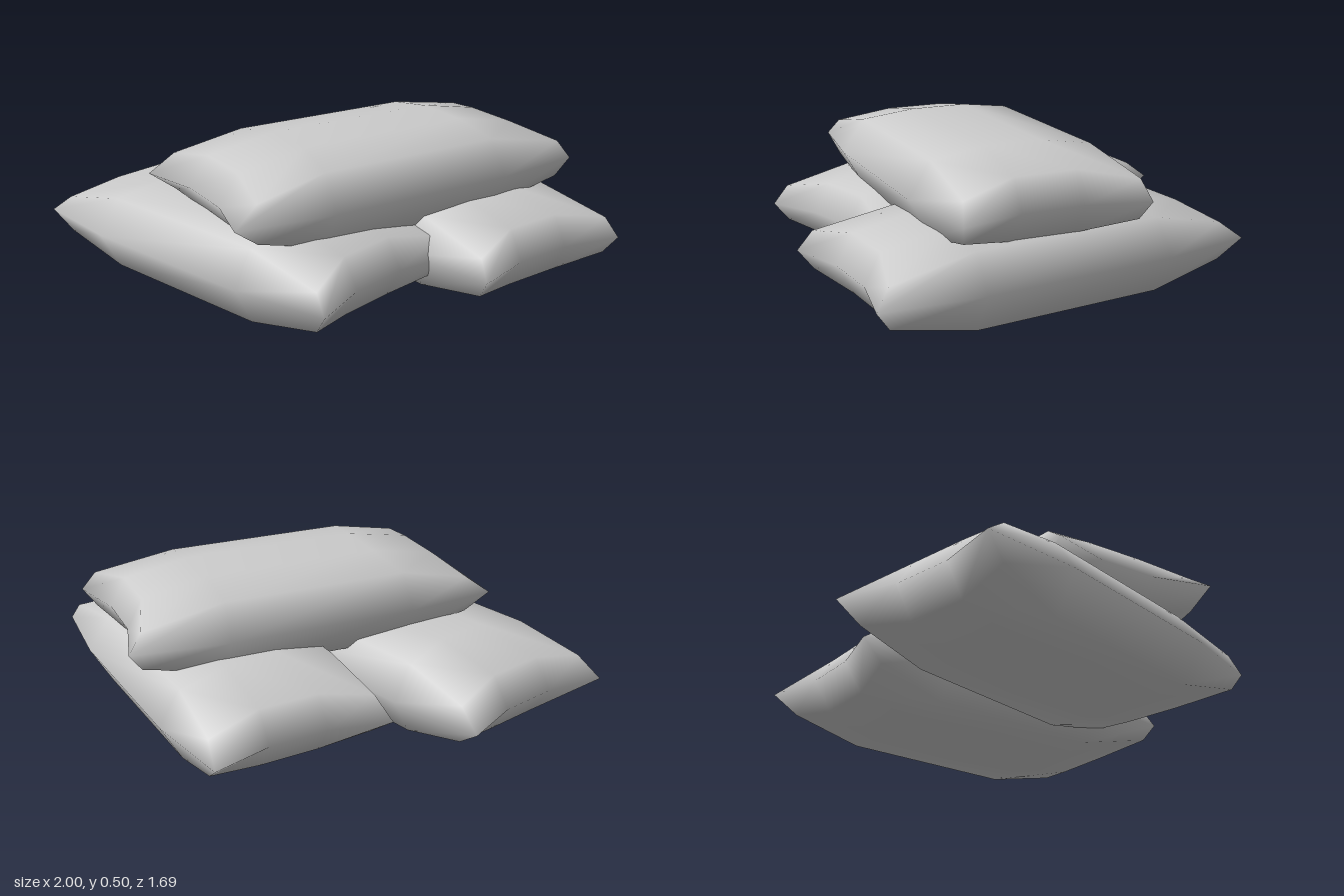
import * as THREE from 'three';
import { mergeVertices } from 'three/addons/utils/BufferGeometryUtils.js';

// Stuffed bag: a subdivided box whose vertices are moved by their place on it.
// Its -x end tapers to sharper corners and its underside is flatter.
function bagGeometry() {
  const box = new THREE.BoxGeometry(2, 2, 2, 3, 2, 3);
  box.deleteAttribute('uv');
  box.deleteAttribute('normal');
  const geo = mergeVertices(box);
  const p = geo.attributes.position;
  // Seam outline: [x, z] of each kind of vertex
  const seam = { corner: [0.667, 0.314], long: [0.335, 0.355], short: [0.613, 0.105] };
  // Upper and lower faces: [x at +x end, x at -x end, z, height above, depth below]
  const face = {
    corner: [0.62, 0.58, 0.295, 0.065, 0.065], long: [0.33, 0.33, 0.28, 0.115, 0.134],
    short: [0.56, 0.545, 0.105, 0.1, 0.1], middle: [0.33, 0.3, 0.1, 0.143, 0.143],
  };
  for (let i = 0; i < p.count; i++) {
    const x = p.getX(i), y = p.getY(i), z = p.getZ(i);
    const endX = Math.abs(x) > 0.9, endZ = Math.abs(z) > 0.9;
    const kind = endX ? (endZ ? 'corner' : 'short') : (endZ ? 'long' : 'middle');
    if (Math.abs(y) < 0.1) {
      const [sx, sz] = seam[kind];
      p.setXYZ(i, Math.sign(x) * sx, 0, Math.sign(z) * sz);
    } else {
      const [right, left, depth, up, down] = face[kind];
      p.setXYZ(i, x > 0 ? right : -left, y > 0 ? up : -down, Math.sign(z) * depth);
    }
  }
  geo.computeVertexNormals();
  return geo;
}

export function createModel() {
  const group = new THREE.Group();
  const geo = bagGeometry();
  const mat = new THREE.MeshStandardMaterial({ color: 0xcccccc });
  // Two bags side by side, one laid across them: name, centre, turn
  const bags = [
    ['lowerRightBag', [-0.29, 0.143, 0.177], -0.683],
    ['lowerLeftBag', [0.329, 0.143, -0.138], -0.87],
    ['upperBag', [0.125, 0.357, 0.076], 0.609],
  ];
  for (const [name, centre, turn] of bags) {
    const bag = new THREE.Mesh(geo, mat);
    bag.name = name;
    bag.position.set(...centre);
    bag.rotation.y = turn;
    group.add(bag);
  }
  return group;
}
